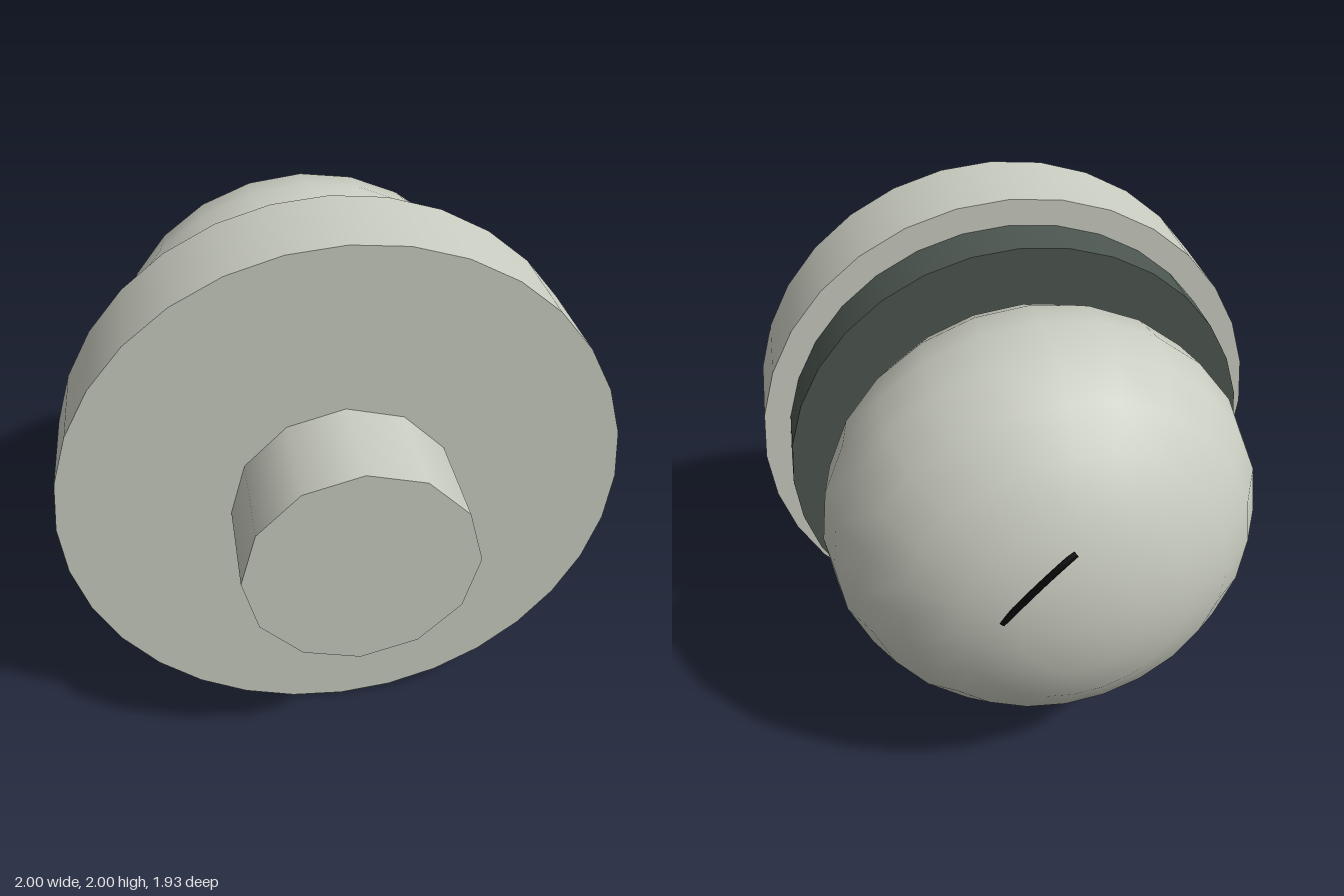
import * as THREE from 'three';

const pale = new THREE.MeshStandardMaterial({ color: 0xc9ccc0 });
const dark = new THREE.MeshStandardMaterial({ color: 0x4c5650 });
const black = new THREE.MeshStandardMaterial({ color: 0x080808 });

const CENTRE_Y = 1;

export function createModel() {
  const model = new THREE.Group();

  function add(name, geometry, material) {
    const mesh = new THREE.Mesh(geometry, material);
    mesh.name = name;
    model.add(mesh);
    return mesh;
  }

  // Round disc facing forward, between two depths
  function disc(name, radius, back, front, sides, material) {
    const geometry = new THREE.CylinderGeometry(radius, radius, front - back, sides);
    geometry.rotateX(Math.PI / 2);
    geometry.translate(0, CENTRE_Y, (front + back) / 2);
    add(name, geometry, material);
  }

  disc('frontStub', 0.4, 0.6, 0.965, 12, pale);
  disc('mainPlate', 1, 0.235, 0.605, 32, pale);
  disc('darkCollar', 0.9, 0.04, 0.24, 32, dark);

  // Flattened dome, partly sunk into the collar
  const dome = new THREE.SphereGeometry(1, 24, 12);
  dome.rotateX(Math.PI / 2);
  dome.scale(0.807, 0.807, 0.645);
  dome.translate(0, CENTRE_Y, -0.32);
  add('dome', dome, pale);

  // Thin dark sliver breaking through the back of the dome
  const arc = new THREE.QuadraticBezierCurve3(
    new THREE.Vector3(0.02, 1.3, -0.91),
    new THREE.Vector3(0.165, 1.22, -0.963),
    new THREE.Vector3(0.26, 1.05, -0.918)
  );
  add('backSliver', new THREE.TubeGeometry(arc, 12, 0.012, 6), black);

  return model;
}
